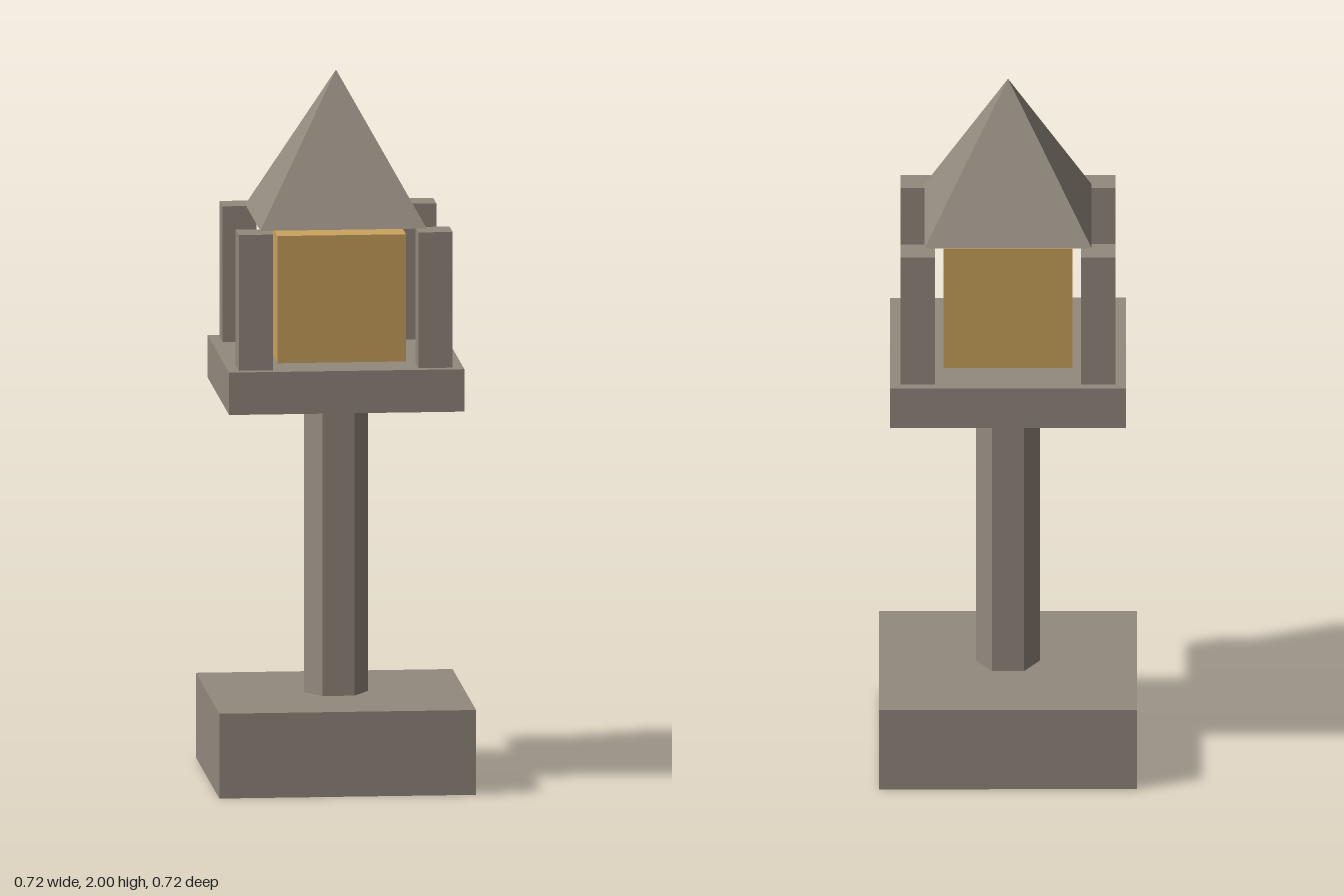
import * as THREE from 'three';

export function createModel() {
  const model = new THREE.Group();
  model.name = 'stoneLantern';

  const stone = new THREE.MeshStandardMaterial({ color: 0x938a7e });
  stone.name = 'stone';
  const glow = new THREE.MeshStandardMaterial({ color: 0xcba35c });
  glow.name = 'amber glow';

  // Adds a mesh whose underside sits at the given height
  function add(name, geometry, material, height, bottom, x = 0, z = 0) {
    const mesh = new THREE.Mesh(geometry, material);
    mesh.name = name;
    mesh.position.set(x, bottom + height / 2, z);
    model.add(mesh);
  }
  const block = (name, width, height, bottom, material = stone, x = 0, z = 0) =>
    add(name, new THREE.BoxGeometry(width, height, width), material, height, bottom, x, z);

  // Square foot, platform and light chamber
  block('base', 0.72, 0.24, 0);
  block('platform', 0.66, 0.12, 1.08);
  block('lightBox', 0.36, 0.36, 1.2, glow);

  // Six-sided shaft with corners pointing to the sides
  const shaft = new THREE.CylinderGeometry(0.09, 0.09, 0.84, 6).toNonIndexed();
  shaft.rotateY(Math.PI / 2);
  shaft.computeVertexNormals();
  add('shaft', shaft, stone, 0.84, 0.24);

  // Four corner posts
  for (const x of [-1, 1]) {
    for (const z of [-1, 1]) {
      block('cornerPost', 0.096, 0.384, 1.2, stone, x * 0.252, z * 0.252);
    }
  }

  // Pyramid roof, closed underneath, resting on the posts
  const roof = new THREE.ConeGeometry(0.33, 0.416, 4).toNonIndexed();
  roof.rotateY(Math.PI / 4);
  roof.computeVertexNormals();
  add('roof', roof, stone, 0.416, 1.584);

  return model;
}
